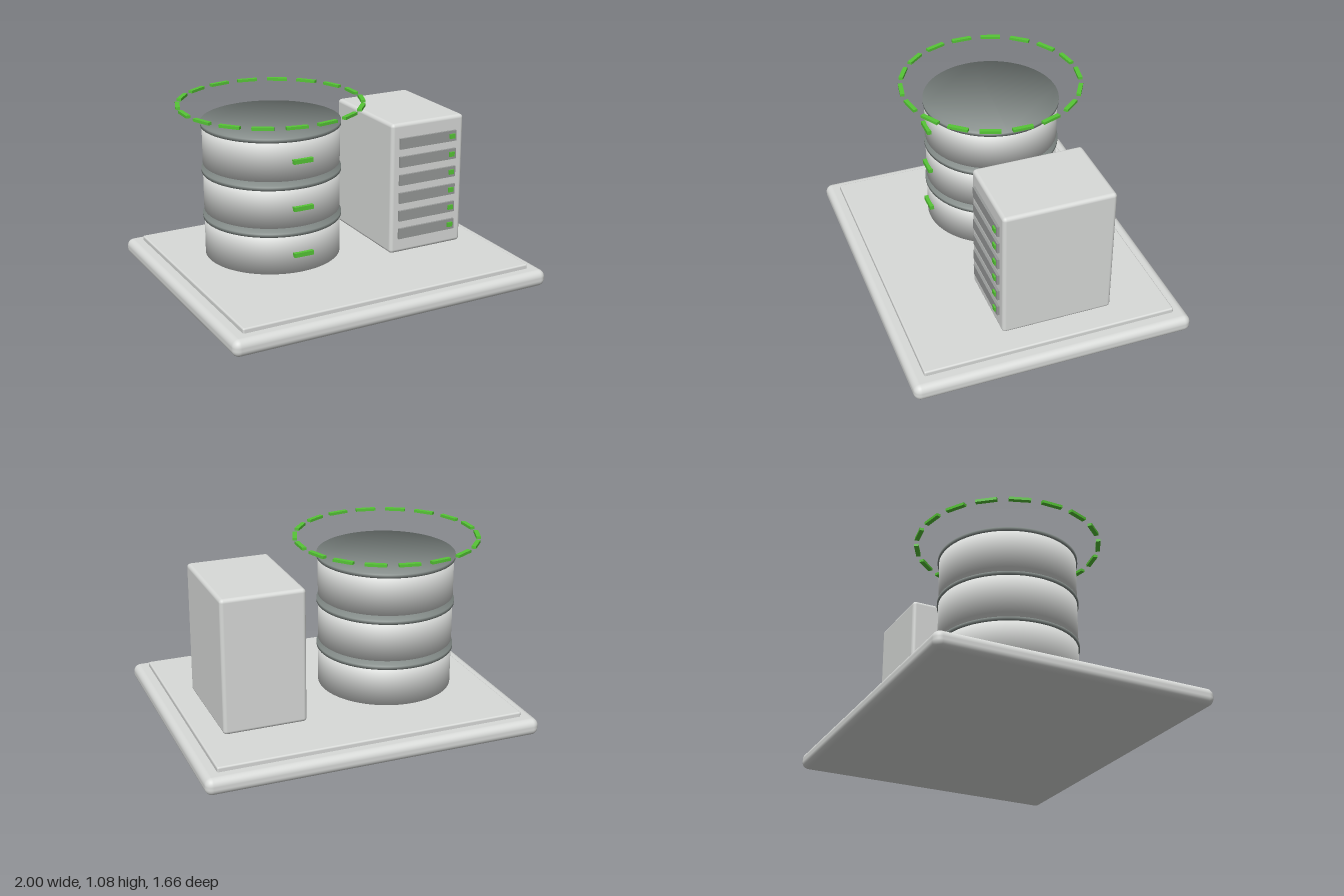
import * as THREE from 'three';
import { RoundedBoxGeometry } from 'three/addons/geometries/RoundedBoxGeometry.js';

const material = (name, color) => {
  const m = new THREE.MeshStandardMaterial({ color });
  m.name = name;
  return m;
};

// Disc standing on y = 0, with normals softened across its top and bottom edges
function softDisc(radius, height) {
  const circle = new THREE.Shape().absarc(0, 0, radius, 0, Math.PI * 2);
  const geo = new THREE.ExtrudeGeometry(circle, { depth: height, bevelEnabled: false, curveSegments: 64 });
  geo.rotateX(-Math.PI / 2);
  const { position, normal } = geo.attributes;
  const n = new THREE.Vector3();
  for (let i = 0; i < position.count; i++) {
    const up = position.getY(i) > height / 2 ? 1 : -1;
    n.set(position.getX(i) / radius, up, position.getZ(i) / radius).normalize();
    normal.setXYZ(i, n.x, n.y, n.z);
  }
  return geo;
}

export function createModel() {
  const shell = material('light grey shell', 0xd8dad8);
  const vent = material('mid grey vent', 0x979998);
  const lidGrey = material('dark grey lid', 0x818986);
  const green = material('green light', 0x56c536);

  const model = new THREE.Group();
  model.name = 'serverAndDatabase';

  const add = (parent, name, geo, mat, x, y, z) => {
    const mesh = new THREE.Mesh(geo, mat);
    mesh.name = name;
    mesh.position.set(x, y, z);
    parent.add(mesh);
    return mesh;
  };
  const group = (name, x, y, z) => {
    const g = new THREE.Group();
    g.name = name;
    g.position.set(x, y, z);
    model.add(g);
    return g;
  };

  // Stepped base
  add(model, 'basePlate', new RoundedBoxGeometry(2, 0.1, 1.66, 5, 0.042), shell, 0, 0.05, 0);
  add(model, 'baseInset', new RoundedBoxGeometry(1.83, 0.05, 1.5, 3, 0.01), shell, 0, 0.103, 0);

  // Three floating storage drums, each with a lid and a status light
  const drums = group('storageDrums', -0.337, 0, -0.09);
  const bodyGeo = softDisc(0.398, 0.226);
  const lidGeo = softDisc(0.406, 0.02);
  const statusGeo = new THREE.BoxGeometry(0.12, 0.025, 0.03);
  for (let i = 0; i < 3; i++) {
    const y = 0.17 + i * 0.277;
    add(drums, 'drumBody', bodyGeo, shell, 0, y, 0);
    add(drums, 'drumLid', lidGeo, lidGrey, 0, y + 0.226, 0);
    add(drums, 'drumStatusLight', statusGeo, green, 0, y + 0.112, 0.404);
  }

  // Dashed ring hovering over the drums
  const ring = group('dashedRing', -0.337, 1.071, -0.09);
  const dashGeo = new THREE.BoxGeometry(0.026, 0.016, 0.122);
  for (let i = 0; i < 18; i++) {
    const a = (i / 18) * Math.PI * 2;
    const dash = add(ring, 'ringDash', dashGeo, green, Math.cos(a) * 0.53, 0, Math.sin(a) * 0.53);
    dash.rotation.y = -a;
  }

  // Server cabinet with six vents, each carrying a small light
  const cabinet = group('serverCabinet', 0.526, 0, -0.085);
  add(cabinet, 'cabinetBody', new RoundedBoxGeometry(0.495, 0.805, 0.66, 4, 0.022), shell, 0, 0.532, 0);
  const ventGeo = new THREE.BoxGeometry(0.388, 0.065, 0.02);
  const lightGeo = new THREE.BoxGeometry(0.034, 0.028, 0.02);
  for (let i = 0; i < 6; i++) {
    const y = 0.254 + i * 0.112;
    add(cabinet, 'serverVent', ventGeo, vent, -0.003, y, 0.334);
    add(cabinet, 'serverLight', lightGeo, green, 0.159, y, 0.344);
  }

  return model;
}
